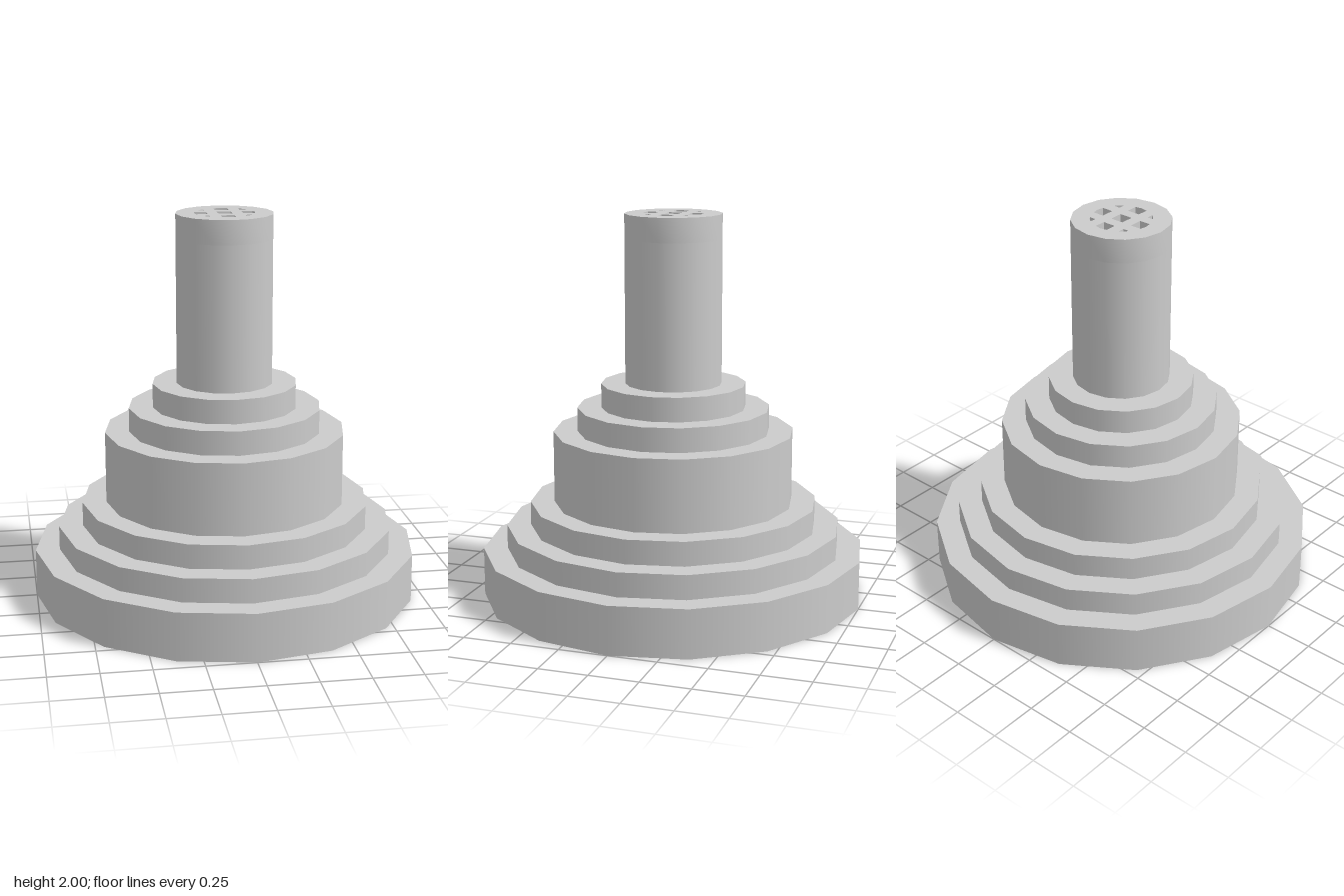
import * as THREE from 'three';
import { toCreasedNormals } from 'three/addons/utils/BufferGeometryUtils.js';

const SIDES = 16;
const PIT_DEPTH = 0.125;
const material = new THREE.MeshStandardMaterial({ color: 0xcccccc });

// Each tier: radius, bottom, top
const TIERS = [
  ['base', 1, 0, 0.25],
  ['lowerStep', 0.875, 0.25, 0.375],
  ['middleStep', 0.75, 0.375, 0.5],
  ['drum', 0.625, 0.5, 0.875],
  ['upperStep', 0.5, 0.875, 1],
  ['collar', 0.375, 1, 1.125],
  ['column', 0.25, 1.125, 2 - PIT_DEPTH],
];

function addMesh(parent, name, geometry, y) {
  const mesh = new THREE.Mesh(geometry, material);
  mesh.name = name;
  mesh.position.y = y;
  parent.add(mesh);
}

const turned = (points, quarter) => points.map(([x, y]) =>
  new THREE.Vector2(x, y).rotateAround(new THREE.Vector2(), quarter * Math.PI / 2));

// Disc pierced by a round grille: a centre square, four side holes, four corner holes
function grilleGeometry(radius) {
  const rim = Array.from({ length: SIDES }, (_, i) => {
    const a = i * Math.PI * 2 / SIDES;
    return new THREE.Vector2(radius * Math.cos(a), radius * Math.sin(a));
  });
  const shape = new THREE.Shape(rim);
  const centre = [[-0.035, -0.035], [0.035, -0.035], [0.035, 0.035], [-0.035, 0.035]];
  const side = [[0.09, -0.035], [0.149, -0.035], [0.156, 0], [0.149, 0.035], [0.09, 0.035]];
  const corner = [[0.09, 0.09], [0.125, 0.09], [0.11, 0.11], [0.09, 0.125]];
  shape.holes.push(new THREE.Path(turned(centre, 0)));
  for (let q = 0; q < 4; q++) {
    shape.holes.push(new THREE.Path(turned(side, q)), new THREE.Path(turned(corner, q)));
  }
  const geometry = new THREE.ExtrudeGeometry(shape, { depth: PIT_DEPTH, bevelEnabled: false });
  return toCreasedNormals(geometry.rotateX(-Math.PI / 2), 0.6);
}

export function createModel() {
  const model = new THREE.Group();
  model.name = 'steppedPedestal';

  // Stacked tiers, each a smooth wall with a flat ledge up to the next tier
  TIERS.forEach(([name, radius, bottom, top], i) => {
    const tier = new THREE.Group();
    tier.name = name;
    const height = top - bottom;
    const wall = new THREE.CylinderGeometry(radius, radius, height, SIDES, 1, true);
    addMesh(tier, name + 'Wall', wall, bottom + height / 2);
    const next = TIERS[i + 1];
    const ledge = next
      ? new THREE.RingGeometry(next[1], radius, SIDES)
      : new THREE.CircleGeometry(radius, SIDES);
    addMesh(tier, next ? name + 'Ledge' : 'grilleFloor', ledge.rotateX(-Math.PI / 2), top);
    model.add(tier);
  });

  // Underside and the pierced column top
  addMesh(model, 'underside', new THREE.CircleGeometry(1, SIDES).rotateX(Math.PI / 2), 0);
  addMesh(model, 'grilleTop', grilleGeometry(0.25), 2 - PIT_DEPTH);
  return model;
}
